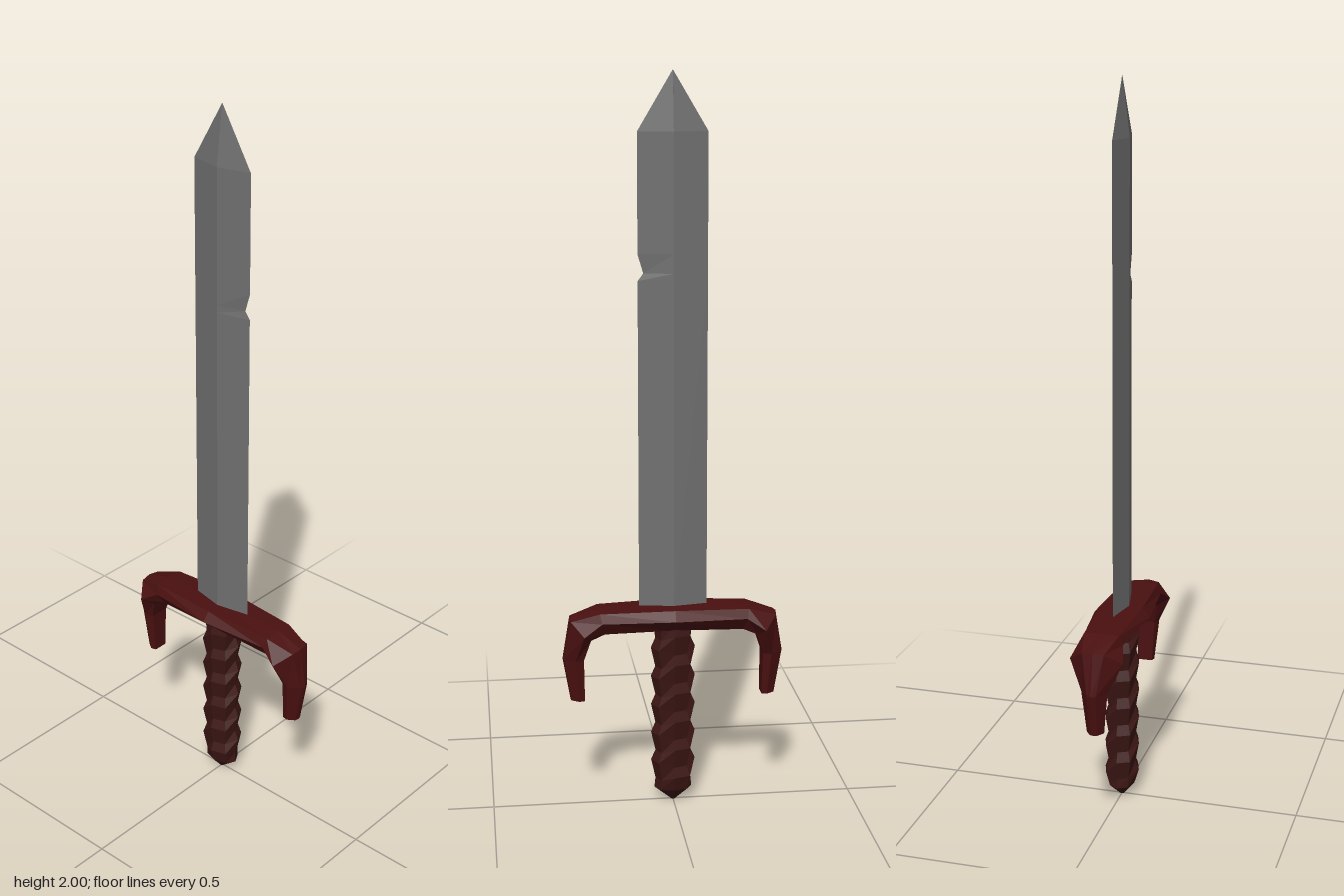
import * as THREE from 'three';

// Skin a list of equal-length rings; rings run counter-clockwise around the path.
function loft(name, rings, material) {
  const pos = [];
  const n = rings[0].length;
  const tri = (...pts) => pts.forEach((p) => pos.push(...p));
  const centre = (ring) => [0, 1, 2].map((k) => ring.reduce((s, p) => s + p[k], 0) / n);
  const first = rings[0], last = rings[rings.length - 1];
  const c0 = centre(first), c1 = centre(last);
  for (let j = 0; j < n; j++) {
    const k = (j + 1) % n;
    for (let i = 0; i < rings.length - 1; i++) {
      const a = rings[i][j], b = rings[i][k], c = rings[i + 1][k], d = rings[i + 1][j];
      tri(a, b, c);
      tri(a, c, d);
    }
    tri(c0, first[k], first[j]);
    tri(c1, last[j], last[k]);
  }
  const geometry = new THREE.BufferGeometry();
  geometry.setAttribute('position', new THREE.Float32BufferAttribute(pos, 3));
  geometry.computeVertexNormals();
  const mesh = new THREE.Mesh(geometry, material);
  mesh.name = name;
  return mesh;
}

const flat = (color) => new THREE.MeshStandardMaterial({ color, flatShading: true });

// Diamond-section blade with a chip in its left edge
function makeBlade() {
  // y, right edge, left edge, half thickness
  const sections = [
    [0.55, 0.093, 0.093, 0.02],
    [1.46, 0.093, 0.093, 0.02],
    [1.48, 0.093, 0.078, 0.02],
    [1.53, 0.093, 0.093, 0.02],
    [1.845, 0.093, 0.093, 0.02],
    [2.0, 0.0005, 0.0005, 0.0005],
  ];
  const rings = sections.map(([y, r, l, t]) => [[l, y, 0], [0, y, -t], [-r, y, 0], [0, y, t]]);
  return loft('blade', rings, flat(0x707070));
}

// Cross-guard bar whose ends hook down toward the grip
function makeGuard() {
  // outer ridge x, y; inner x, y; top edge, side and inner half depths; side position
  const half = [
    [0, 0.575, 0, 0.51, 0.058, 0.079, 0.04, 0.45],
    [0.205, 0.57, 0.19, 0.505, 0.047, 0.058, 0.035, 0.45],
    [0.285, 0.545, 0.228, 0.49, 0.03, 0.073, 0.04, 0.65],
    [0.304, 0.43, 0.247, 0.43, 0.012, 0.036, 0.028, 0.6],
    [0.283, 0.31, 0.245, 0.31, 0.01, 0.024, 0.02, 0.6],
  ];
  const ring = ([ox, oy, ix, iy, a, b, c, t], s) => {
    const at = (f, z) => [s * (ox + (ix - ox) * f), oy + (iy - oy) * f, z];
    return [at(0, 0), at(0.06, a), at(t, b), at(1, c), at(1, -c), at(t, -b), at(0.06, -a)];
  };
  const rings = [
    ...half.slice(1).reverse().map((h) => ring(h, -1)),
    ...half.map((h) => ring(h, 1)),
  ];
  return loft('crossGuard', rings, flat(0x4a1010));
}

// Faceted grip with staggered bumps, closing to a blunt point
function makeGrip() {
  const sides = 8;
  const rings = [];
  const addRing = (y, rx, rz, bump) => {
    const ring = [];
    for (let j = 0; j < sides; j++) {
      const a = (j / sides) * Math.PI * 2;
      const step = (rings.length + Math.floor(j / 2)) % 2 ? 1 : -1;
      const k = 1 + bump * step;
      ring.push([rx * k * Math.cos(a), y + step * bump * 0.06, -rz * k * Math.sin(a)]);
    }
    rings.push(ring);
  };
  addRing(0.003, 0.006, 0.006, 0);
  addRing(0.04, 0.052, 0.036, 0);
  for (let i = 0; i < 11; i++) addRing(0.075 + i * 0.041, 0.055, 0.044, 0.11);
  addRing(0.53, 0.055, 0.04, 0);
  return loft('grip', rings, flat(0x3c1614));
}

export function createModel() {
  const group = new THREE.Group();
  group.name = 'sword';
  group.add(makeBlade(), makeGuard(), makeGrip());
  return group;
}
